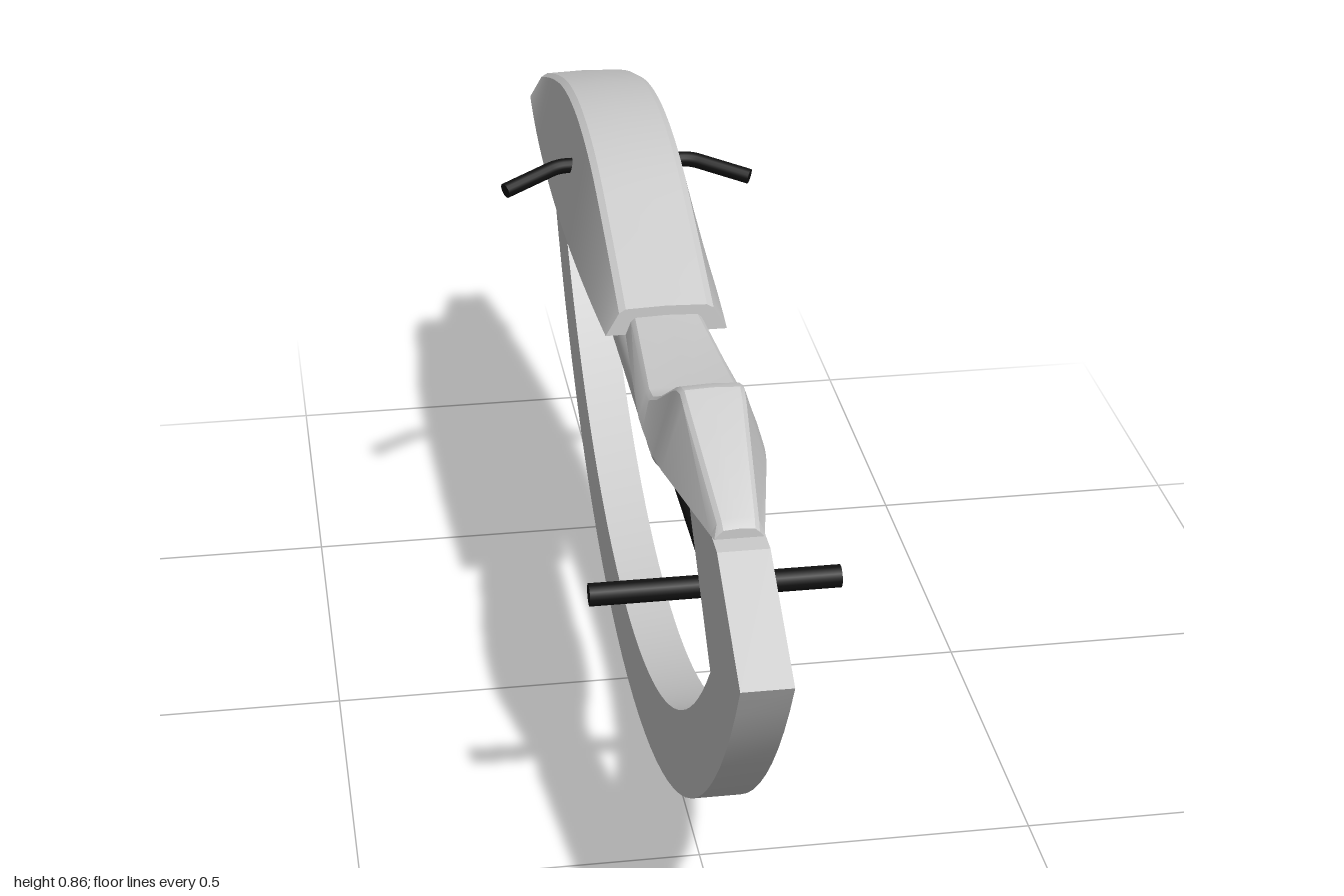
import * as THREE from 'three';
import { toCreasedNormals } from 'three/addons/utils/BufferGeometryUtils.js';

const grey = new THREE.MeshStandardMaterial({ color: 0xcccccc });
const black = new THREE.MeshStandardMaterial({ color: 0x111111 });

function add(parent, name, geometry, material = grey) {
  const mesh = new THREE.Mesh(geometry, material);
  mesh.name = name;
  parent.add(mesh);
  return mesh;
}

// Joins equal rings of [x, y] (counterclockwise seen from +z) set at rising z
function loft(sections) {
  const n = sections[0].ring.length, pos = [], index = [];
  for (const { z, ring } of sections) for (const [x, y] of ring) pos.push(x, y, z);
  const last = (sections.length - 1) * n;
  for (let i = 0; i < last; i += n)
    for (let j = 0; j < n; j++) {
      const k = (j + 1) % n;
      index.push(i + j, i + k, i + n + k, i + j, i + n + k, i + n + j);
    }
  for (let k = 1; k < n - 1; k++)
    index.push(0, k + 1, k, last, last + k, last + k + 1);
  const g = new THREE.BufferGeometry();
  g.setAttribute('position', new THREE.Float32BufferAttribute(pos, 3));
  g.setIndex(index);
  return toCreasedNormals(g, 0.4);
}

// Body cross-section: sloping sides, bevelled top edge, flat base at y = 0.7
function bodyRing(top, topWidth, baseWidth, bevel, drop) {
  const half = [[baseWidth, 0.7], [topWidth, top - drop], [topWidth - bevel, top - drop * 0.25]];
  return [...half, [0, top], ...half.map(([x, y]) => [-x, y]).reverse()];
}

// Round bar through points, with straight runs, rounded bends and closed ends
function bar(parent, name, points, radius, bend = 0.06) {
  const p = points.map((a) => new THREE.Vector3(...a));
  const path = new THREE.CurvePath();
  let from = p[0];
  for (let i = 1; i < p.length - 1; i++) {
    const a = p[i].clone().add(p[i - 1].clone().sub(p[i]).setLength(bend));
    const b = p[i].clone().add(p[i + 1].clone().sub(p[i]).setLength(bend));
    path.add(new THREE.LineCurve3(from, a));
    path.add(new THREE.QuadraticBezierCurve3(a, p[i], b));
    from = b;
  }
  const end = p[p.length - 1];
  path.add(new THREE.LineCurve3(from, end));
  const group = new THREE.Group();
  group.name = name;
  parent.add(group);
  add(group, name + 'Tube', new THREE.TubeGeometry(path, 60, radius, 14), black);
  for (const [at, inner] of [[p[0], p[1]], [end, p[p.length - 2]]]) {
    const cap = add(group, name + 'Cap', new THREE.CircleGeometry(radius, 14), black);
    cap.position.copy(at);
    cap.lookAt(at.clone().multiplyScalar(2).sub(inner));
  }
}

// Points on the rocker arc, running from one end to the other
function arc(radius, halfSpan, steps = 40) {
  const a = Math.asin(halfSpan / radius), pts = [];
  for (let i = 0; i <= steps; i++) {
    const t = -a + (2 * a * i) / steps;
    pts.push(new THREE.Vector2(radius * Math.sin(t), 1.133 - radius * Math.cos(t)));
  }
  return pts;
}

export function createModel() {
  const model = new THREE.Group();
  model.name = 'rockingBike';

  // Rocker frame with its large opening
  const v = (x, y) => new THREE.Vector2(x, y);
  const shape = new THREE.Shape([...arc(1.133, 1), v(0.82, 0.7), v(-0.82, 0.7)]);
  shape.holes.push(new THREE.Path([...arc(1.008, 0.78), v(0.58, 0.665), v(-0.58, 0.665)]));
  const frame = new THREE.ExtrudeGeometry(shape, { depth: 0.07, bevelEnabled: false });
  frame.translate(0, 0, -0.035).rotateY(-Math.PI / 2);
  add(model, 'rockerFrame', toCreasedNormals(frame, 0.4));

  // Arched tank
  const crest = new THREE.SplineCurve([
    v(-0.785, 0.743), v(-0.62, 0.803), v(-0.46, 0.847), v(-0.3, 0.863),
    v(-0.14, 0.847), v(0.02, 0.798), v(0.17, 0.743)]);
  const tank = crest.getPoints(30).map(({ x: z, y }) => {
    const u = (z + 0.3075) / 0.4775;
    return { z, ring: bodyRing(y, 0.07, 0.105 - 0.015 * u * u, 0.01, 0.008) };
  });
  add(model, 'tank', loft(tank));

  // Seat rising to a pointed tail: z, top height, top half width, base half width
  const seat = [
    [0.165, 0.728, 0.052, 0.06], [0.4, 0.728, 0.066, 0.078], [0.435, 0.734, 0.066, 0.08],
    [0.47, 0.752, 0.06, 0.08], [0.53, 0.795, 0.048, 0.078], [0.55, 0.806, 0.046, 0.077],
    [0.57, 0.81, 0.044, 0.075], [0.59, 0.803, 0.043, 0.072], [0.775, 0.724, 0.028, 0.036],
    [0.787, 0.714, 0.027, 0.033]
  ].map(([z, y, wt, wb]) => ({ z, ring: bodyRing(y, wt, wb, 0.006, 0.007) }));
  add(model, 'seat', loft(seat));

  // Exhaust pipes and silencer
  bar(model, 'upperPipe', [[0, 0.605, 0.68], [0, 0.605, -0.22], [0, 0.685, -0.315]], 0.012);
  bar(model, 'lowerPipe', [[0, 0.527, 0.78], [0, 0.527, -0.27], [0, 0.685, -0.425]], 0.012);
  const profile = [
    [0, -0.253], [0.034, -0.253], [0.037, -0.26], [0.045, -0.26], [0.051, -0.252],
    [0.051, 0.252], [0.045, 0.26], [0.037, 0.26], [0.034, 0.253], [0, 0.253]
  ].map(([r, y]) => v(r, y));
  const silencer = new THREE.LatheGeometry(profile, 32).rotateX(Math.PI / 2);
  add(model, 'silencer', toCreasedNormals(silencer, 0.5)).position.set(0, 0.605, 0.09);

  // Foot rest
  const rest = new THREE.CylinderGeometry(0.016, 0.016, 0.35, 18).rotateZ(Math.PI / 2);
  add(model, 'footRest', rest, black).position.set(0, 0.526, 0.61);

  // Handlebar grips
  for (const [side, name] of [[1, 'leftHandle'], [-1, 'rightHandle']])
    bar(model, name, [
      [side * 0.06, 0.788, -0.265], [side * 0.105, 0.788, -0.265], [side * 0.193, 0.769, -0.224]
    ], 0.012, 0.015);

  return model;
}
